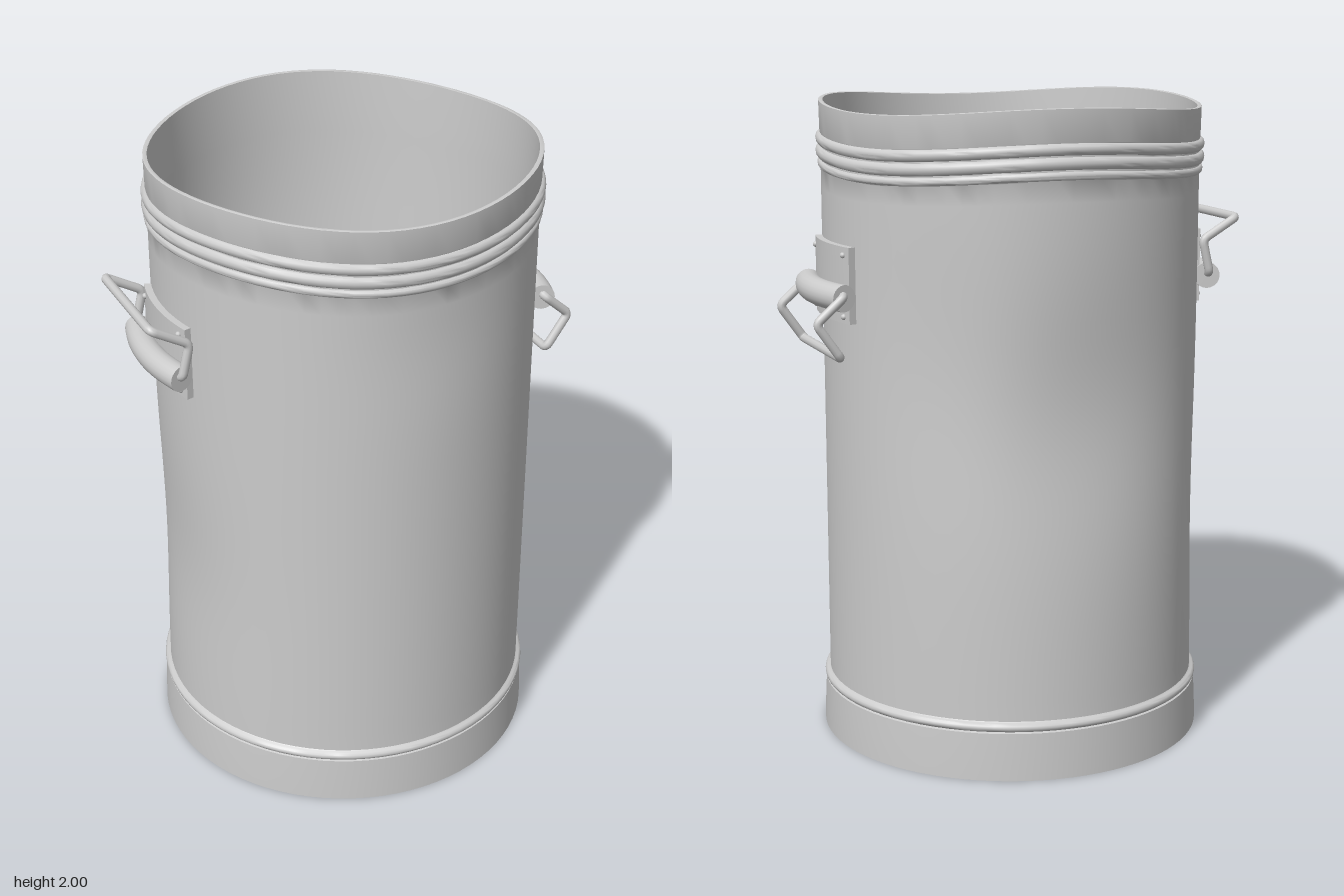
import * as THREE from 'three';
import { toCreasedNormals } from 'three/addons/utils/BufferGeometryUtils.js';

const V = (x, y, z) => new THREE.Vector3(x, y, z);
const material = new THREE.MeshStandardMaterial({ color: 0xcccccc, side: THREE.DoubleSide });

function mesh(name, geometry) {
  const m = new THREE.Mesh(geometry, material);
  m.name = name;
  return m;
}

// dents pushed into the wall: [angle from the front, height, depth, angular width, height width]
const DENTS = [
  [Math.PI, 1.1, 0.042, 0.55, 0.36],
  [2.35, 1.25, 0.014, 0.35, 0.4],
  [-Math.PI / 2, 0.7, 0.02, 0.5, 0.35],
  [0, 1.6, 0.007, 0.4, 0.2],
];

// dents the wall and bends the upper rim into three gentle waves
function batter(geometry) {
  const p = geometry.attributes.position;
  for (let i = 0; i < p.count; i++) {
    const x = p.getX(i), y = p.getY(i), z = p.getZ(i);
    const r = Math.hypot(x, z);
    if (r < 0.1) continue;
    const a = Math.atan2(x, z);
    let push = 0;
    for (const [da, dy, depth, wa, wy] of DENTS) {
      const d = Math.atan2(Math.sin(a - da), Math.cos(a - da)) / wa;
      push += depth * Math.exp(-d * d - ((y - dy) / wy) ** 2);
    }
    const k = (r - push) / r;
    const wave = 0.013 * Math.cos(3 * (a - 0.96)) * THREE.MathUtils.smoothstep(y, 1.6, 1.8);
    p.setXYZ(i, x * k, y + wave, z * k);
  }
  return geometry;
}

// points of a straight wall, split so that dents can bend it
function wall(r, y0, y1, steps) {
  return Array.from({ length: steps + 1 }, (_, i) => [r, y0 + ((y1 - y0) * i) / steps]);
}

// points of a rounded bead standing out from the wall
function bead(r, y, h, out) {
  return Array.from({ length: 7 }, (_, i) => {
    const t = (Math.PI * i) / 6;
    return [r + out * Math.sin(t), y - h * Math.cos(t)];
  });
}

function buildBody() {
  const profile = [
    [0, 0], [0.604, 0], [0.602, 0.07], [0.598, 0.148],
    ...bead(0.588, 0.165, 0.014, 0.014),
    ...wall(0.585, 0.182, 1.782, 28),
    ...bead(0.586, 1.797, 0.012, 0.009),
    ...bead(0.586, 1.832, 0.018, 0.014),
    ...bead(0.586, 1.872, 0.017, 0.014),
    [0.587, 1.892], [0.589, 1.986], [0.585, 1.988], [0.576, 1.986],
    ...wall(0.572, 1.85, 0.03, 30),
    [0, 0.03],
  ].map(([x, y]) => new THREE.Vector2(x, y));
  return mesh('body', toCreasedNormals(batter(new THREE.LatheGeometry(profile, 80)), 0.7));
}

// tube through points with rounded corners
function wire(points, radius, bend) {
  const path = new THREE.CurvePath();
  let from = points[0];
  for (let i = 1; i < points.length - 1; i++) {
    const c = points[i];
    const toward = (q) => c.clone().add(q.clone().sub(c).setLength(bend));
    const a = toward(points[i - 1]), b = toward(points[i + 1]);
    path.add(new THREE.LineCurve3(from, a));
    path.add(new THREE.QuadraticBezierCurve3(a, c, b));
    from = b;
  }
  path.add(new THREE.LineCurve3(from, points[points.length - 1]));
  return new THREE.TubeGeometry(path, 120, radius, 10);
}

// one handle on side s (1 = left, -1 = right); the elbow and bar are [x, y] of the swinging bail
function buildHandle(name, s, elbow, bar) {
  const group = new THREE.Group();
  group.name = name;

  // mounting plate, curved to the wall
  const half = 0.275;
  const shape = new THREE.Shape();
  shape.absarc(0, 0, 0.606, -half, half, false);
  shape.absarc(0, 0, 0.575, half, -half, true);
  const plate = new THREE.ExtrudeGeometry(shape, { depth: 0.23, bevelEnabled: false, curveSegments: 10 });
  plate.rotateX(-Math.PI / 2).translate(0, 1.35, 0);
  if (s < 0) plate.rotateY(Math.PI);
  group.add(mesh('handlePlate', toCreasedNormals(plate, 0.6)));

  // rivets in the plate corners
  for (const y of [1.37, 1.555]) {
    for (const z of [-0.135, 0.135]) {
      const rivet = mesh('rivet', new THREE.SphereGeometry(0.009, 10, 6));
      rivet.position.set(s * 0.592, y, z);
      group.add(rivet);
    }
  }

  // bowed grip sleeve with closed ends
  const bow = new THREE.QuadraticBezierCurve3(
    V(s * 0.603, 1.432, -0.178), V(s * 0.663, 1.432, 0), V(s * 0.603, 1.432, 0.178));
  group.add(mesh('gripSleeve', new THREE.TubeGeometry(bow, 20, 0.041, 20)));
  for (const t of [0, 1]) {
    const cap = mesh('sleeveEnd', new THREE.CircleGeometry(0.041, 20));
    cap.position.copy(bow.getPoint(t));
    cap.lookAt(cap.position.clone().addScaledVector(bow.getTangent(t), t ? 1 : -1));
    group.add(cap);
  }

  // bent wire bail pivoting in the sleeve
  const w = 0.19;
  const arm = (z) => [V(s * 0.61, 1.44, z * 0.75), V(s * 0.606, 1.44, z), V(s * elbow[0], elbow[1], z), V(s * bar[0], bar[1], z)];
  group.add(mesh('bail', wire([...arm(-w), ...arm(w).reverse()], 0.014, 0.018)));
  return group;
}

export function createModel() {
  const model = new THREE.Group();
  model.name = 'metalCan';
  model.add(buildBody());
  model.add(buildHandle('leftHandle', 1, [0.695, 1.362], [0.62, 1.255]));
  model.add(buildHandle('rightHandle', -1, [0.58, 1.548], [0.697, 1.615]));
  return model;
}
